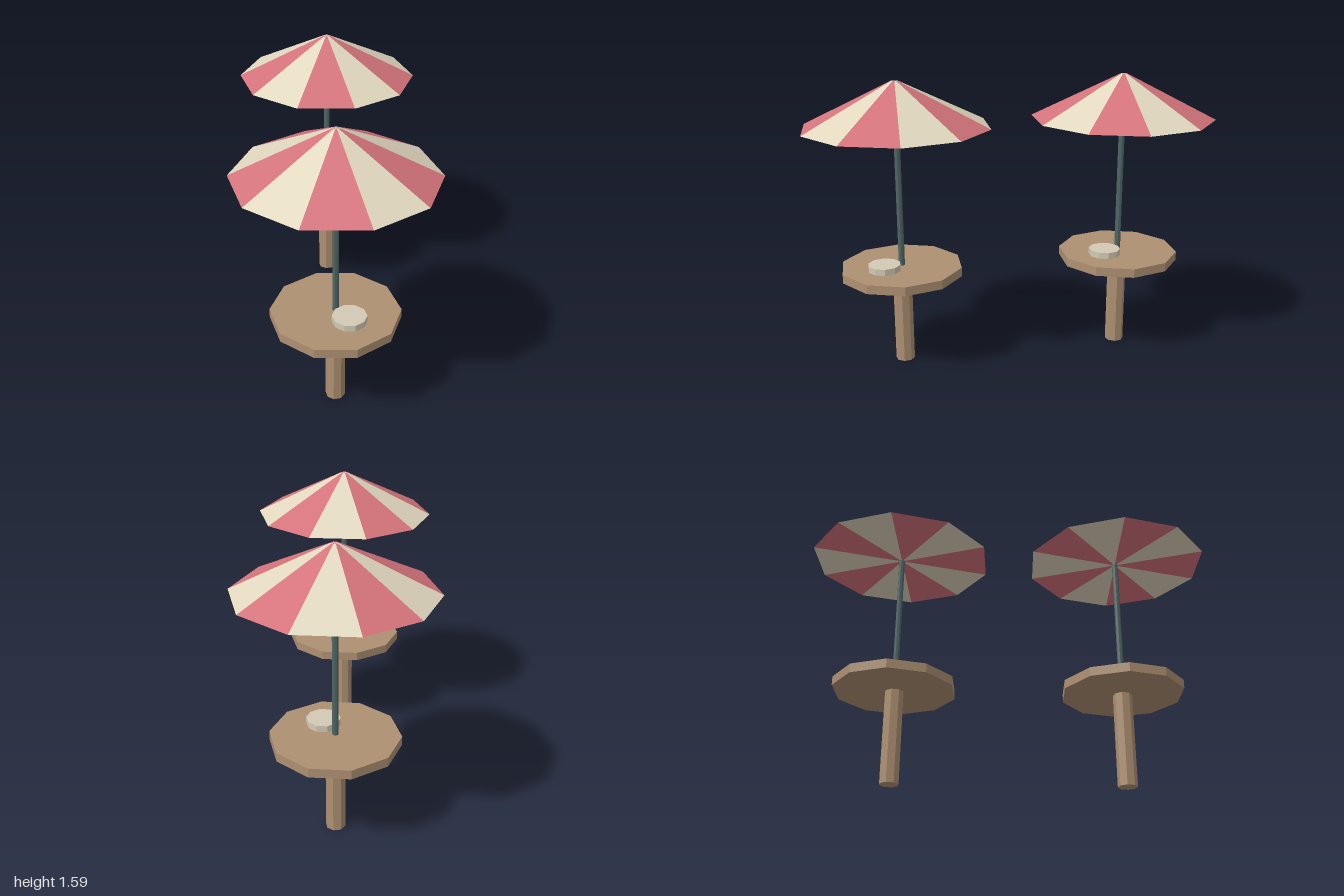
import * as THREE from 'three';
import { mergeGeometries } from 'three/addons/utils/BufferGeometryUtils.js';

const SIDES = 10;

function material(name, color) {
  const m = new THREE.MeshStandardMaterial({ color, flatShading: true });
  m.name = name;
  return m;
}

// Upright prism standing between two heights
function prism(name, mat, radius, bottom, top, sides, x = 0) {
  const geometry = new THREE.CylinderGeometry(radius, radius, top - bottom, sides);
  const mesh = new THREE.Mesh(geometry, mat);
  mesh.name = name;
  mesh.position.set(x, (bottom + top) / 2, 0);
  return mesh;
}

// Every second wedge of the closed canopy, merged into one mesh
function canopyStripes(name, mat, first) {
  const step = (Math.PI * 2) / SIDES;
  const bottom = 1.35, top = 1.593;
  const wedges = [];
  for (let k = first; k < SIDES; k += 2) {
    wedges.push(new THREE.CylinderGeometry(0.02, 0.512, top - bottom, 1, 1, false, k * step, step));
  }
  const mesh = new THREE.Mesh(mergeGeometries(wedges), mat);
  mesh.name = name;
  mesh.position.y = (bottom + top) / 2;
  return mesh;
}

export function createModel() {
  const wood = material('wood', 0xae9072);
  const metal = material('pole metal', 0x4f6664);
  const cream = material('cream fabric', 0xe0d7be);
  const red = material('red fabric', 0xd4737b);
  const plate = material('plate', 0xd2cab4);

  function parasolTable(name, x, z) {
    const table = new THREE.Group();
    table.name = name;
    table.add(
      prism('post', wood, 0.053, 0, 0.52, 8),
      prism('tableTop', wood, 0.34, 0.52, 0.57, SIDES),
      prism('plate', plate, 0.09, 0.57, 0.605, SIDES, 0.12),
      prism('pole', metal, 0.017, 0.57, 1.35, 8),
      canopyStripes('creamCanopyStripes', cream, 0),
      canopyStripes('redCanopyStripes', red, 1)
    );
    table.position.set(x, 0, z);
    table.rotation.y = -0.052; // slight turn of the whole set
    return table;
  }

  const model = new THREE.Group();
  model.name = 'parasolTables';
  model.add(
    parasolTable('backRightTable', -0.504, -0.375),
    parasolTable('frontLeftTable', 0.504, 0.375)
  );
  return model;
}
